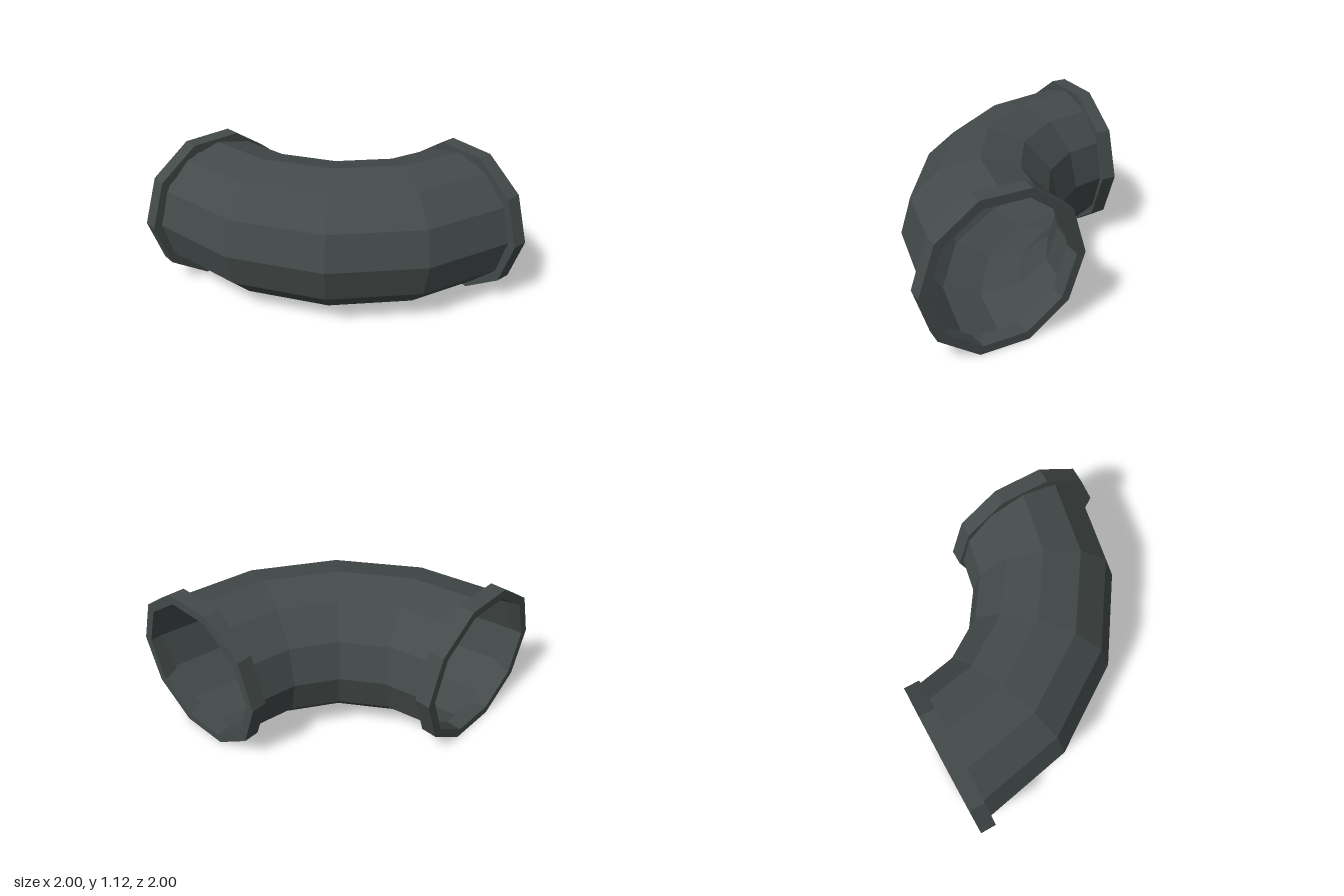
import * as THREE from 'three';

const CENTRE_Y = 0.561; // height of the pipe axis

// regular polygon with one corner pointing along +x
function polygon(radius, sides, PathType) {
  const points = [];
  for (let i = 0; i < sides; i++) {
    const a = (i / sides) * Math.PI * 2;
    points.push(new THREE.Vector2(radius * Math.cos(a), radius * Math.sin(a)));
  }
  return new PathType(points);
}

export function createModel() {
  const group = new THREE.Group();
  group.name = 'pipeElbow';

  const darkMetal = new THREE.MeshStandardMaterial({
    color: 0x434a49, flatShading: true, side: THREE.DoubleSide,
  });
  darkMetal.name = 'dark grey metal';

  // quarter bend: open twelve-sided tube in four straight segments
  const bend = new THREE.TorusGeometry(1.345, 0.537, 12, 4, Math.PI / 2);
  bend.rotateX(Math.PI / 2);
  const pipe = new THREE.Mesh(bend, darkMetal);
  pipe.name = 'pipeBend';
  pipe.position.set(-0.942, CENTRE_Y, -0.942);
  group.add(pipe);

  // ten-sided collar ring around each open end
  const ring = polygon(0.59, 10, THREE.Shape);
  ring.holes.push(polygon(0.525, 10, THREE.Path));
  const collar = new THREE.ExtrudeGeometry(ring, { depth: 0.115, bevelEnabled: false });

  const backCollar = new THREE.Mesh(collar, darkMetal);
  backCollar.name = 'backCollar';
  backCollar.position.set(0.41, CENTRE_Y, -1);

  const rightCollar = new THREE.Mesh(collar, darkMetal);
  rightCollar.name = 'rightCollar';
  rightCollar.rotation.y = Math.PI / 2;
  rightCollar.position.set(-1, CENTRE_Y, 0.41);

  group.add(backCollar, rightCollar);
  return group;
}
